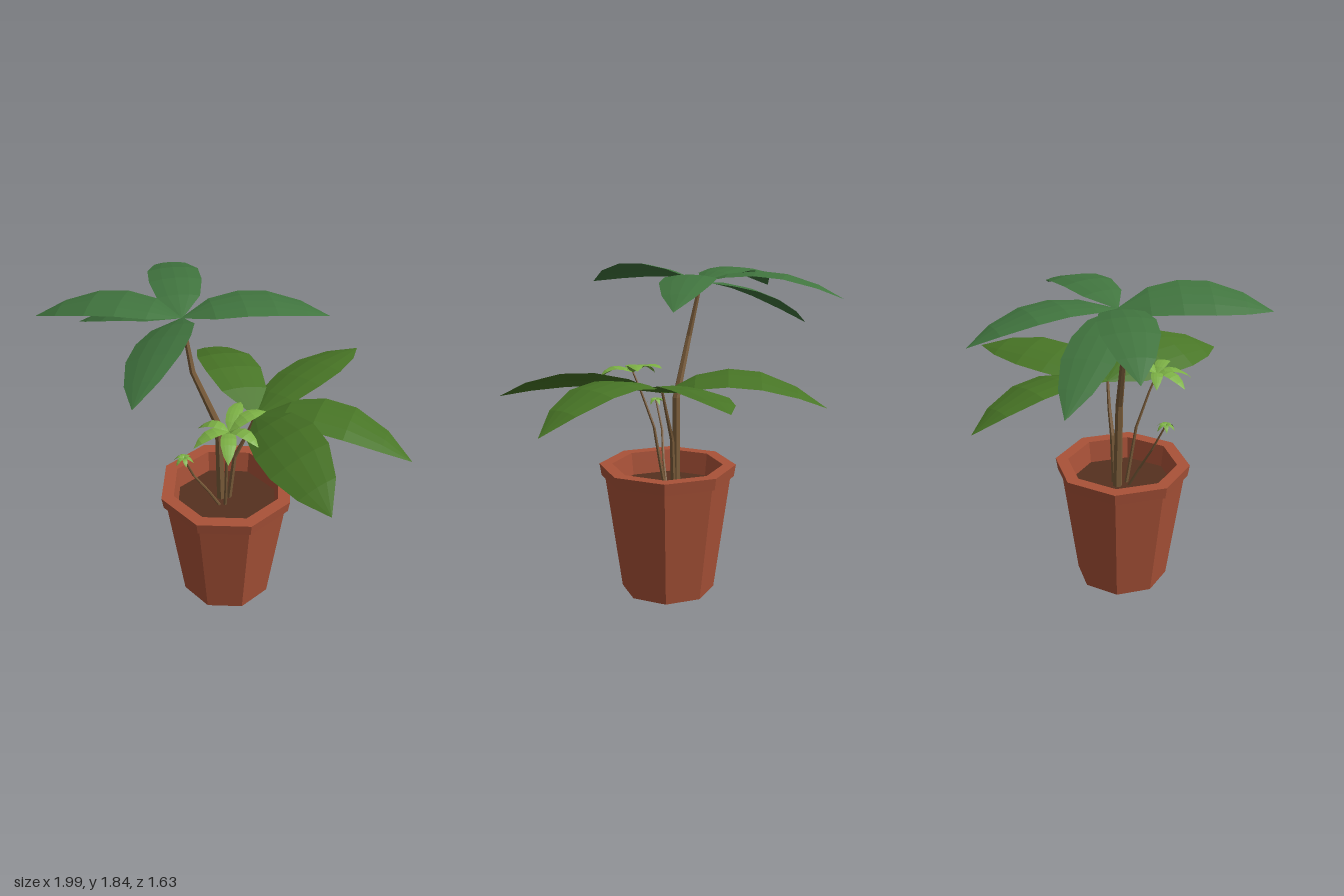
import * as THREE from 'three';

const mat = (color, side = THREE.FrontSide) =>
  new THREE.MeshStandardMaterial({ color, side, flatShading: true });
const V = (p) => new THREE.Vector3(...p);

const clay = mat(0xa95238);
const earth = mat(0x55301f);
const bark = mat(0x7a5c3a);
const darkGreen = mat(0x41753f, THREE.DoubleSide);
const midGreen = mat(0x487526, THREE.DoubleSide);
const lightGreen = mat(0x7cb045, THREE.DoubleSide);

function add(parent, name, geometry, material) {
  const mesh = new THREE.Mesh(geometry, material);
  mesh.name = name;
  parent.add(mesh);
  return mesh;
}

// Tapering stem: a cylinder whose rings are moved onto the given points
function stemGeometry(points, rBottom, rTop) {
  const n = points.length - 1;
  const geo = new THREE.CylinderGeometry(rTop, rBottom, 1, 6, n);
  const pos = geo.attributes.position;
  for (let i = 0; i < pos.count; i++) {
    const [x, y, z] = points[Math.round((pos.getY(i) + 0.5) * n)];
    pos.setXYZ(i, pos.getX(i) + x, y, pos.getZ(i) + z);
  }
  geo.computeVertexNormals();
  return geo;
}

// Leaf blade: rows along an arch from hub to tip, columns across the blade.
// rise = arch height, roll = sideways slope, width = half width / length
const ROWS = [[0, 0.04], [0.2, 0.8], [0.4, 1], [0.6, 0.98], [0.82, 0.62], [1, 0.01]];
const COLS = [-1, -0.5, 0, 0.5, 1];
function leafGeometry(hub, tip, rise, roll = 0, width = 0.178) {
  const a = V(hub), b = V(tip);
  const dir = b.clone().sub(a).setY(0);
  const half = dir.length() * width;
  dir.normalize();
  const side = new THREE.Vector3(dir.z, 0, -dir.x);
  const verts = [], index = [];
  ROWS.forEach(([t, w], i) => {
    const rib = a.clone().lerp(b, t);
    rib.y += 4 * rise * t * (1 - t);
    COLS.forEach((c, j) => {
      const off = c * w * half;
      const p = rib.clone().addScaledVector(side, off);
      p.y += off * roll - c * c * w * half * 0.12;
      verts.push(p.x, p.y, p.z);
      if (i && j) {
        const q = i * COLS.length + j, r = q - COLS.length;
        index.push(r - 1, q - 1, q, r - 1, q, r);
      }
    });
  });
  const geo = new THREE.BufferGeometry();
  geo.setAttribute('position', new THREE.Float32BufferAttribute(verts, 3));
  geo.setIndex(index);
  geo.computeVertexNormals();
  return geo;
}

// One plant: a stem with a whorl of leaves at its top point
function plant(name, path, radii, leaves, material, width) {
  const group = new THREE.Group();
  group.name = name;
  add(group, 'stem', stemGeometry(path, ...radii), bark);
  const hub = path[path.length - 1];
  leaves.forEach(([tip, rise, roll], i) =>
    add(group, 'leaf' + (i + 1), leafGeometry(hub, tip, rise, roll, width), material));
  return group;
}

export function createModel() {
  const model = new THREE.Group();
  model.name = 'pottedPlant';

  // Eight-sided pot with a rim; profile is given as distances to the flat sides
  const k = 1 / Math.cos(Math.PI / 8);
  const profile = [
    [0, 0], [0.245, 0], [0.33, 0.675], [0.347, 0.672], [0.357, 0.74], [0.29, 0.74], [0.275, 0.6],
  ].map(([r, y]) => new THREE.Vector2(r * k, y));
  const pot = add(model, 'pot', new THREE.LatheGeometry(profile, 8, Math.PI / 8), clay);
  pot.position.set(0.017, 0, 0.063);

  const soil = add(model, 'soil', new THREE.CircleGeometry(0.277 * k, 8, Math.PI / 8), earth);
  soil.rotation.x = -Math.PI / 2;
  soil.position.set(0.017, 0.61, 0.063);

  // Tall plant
  model.add(plant('tallPlant',
    [[-0.015, 0.6, 0.025], [-0.03, 1.12, 0.03], [-0.165, 1.45, 0.012], [-0.217, 1.745, -0.035]],
    [0.027, 0.011],
    [
      [[-1, 1.67, -0.16], 0.1],
      [[-0.84, 1.47, -0.46], 0.07],
      [[-0.36, 1.67, -0.815], 0.1],
      [[0.55, 1.67, -0.22], 0.1],
      [[-0.38, 1.71, 0.74], 0.085, 0.33],
    ], darkGreen));

  // Middle plant
  model.add(plant('middlePlant',
    [[0.03, 0.6, 0.02], [0.06, 0.9, 0.015], [0.12, 1.04, 0.015], [0.17, 1.185, 0.02]],
    [0.016, 0.008],
    [
      [[0.99, 1.1, 0.28], 0.15],
      [[0.54, 1.17, 0.81], 0.1, 0.42],
      [[0.755, 1.25, -0.6], 0.075, -0.2],
      [[-0.15, 1.11, -0.8], 0.14, 0.12],
    ], midGreen, 0.185));

  // Young plant
  model.add(plant('youngPlant',
    [[0.01, 0.6, 0.085], [0.015, 0.74, 0.11], [0.02, 0.95, 0.145], [0.03, 1.15, 0.22], [0.035, 1.255, 0.265]],
    [0.012, 0.006],
    [
      [[-0.13, 1.23, 0.21], 0.045],
      [[-0.14, 1.22, 0.37], 0.045],
      [[0.04, 1.2, 0.48], 0.045],
      [[0.19, 1.25, 0.39], 0.045],
      [[0.225, 1.3, 0.14], 0.04],
      [[0.09, 1.3, 0.06], 0.035],
    ], lightGreen, 0.19));

  // Tiny sprout with a ring of short leaves
  const top = [-0.205, 1.05, 0.24];
  const ring = [];
  for (let i = 0; i < 6; i++) {
    const a = (i / 6) * Math.PI * 2 + 0.2;
    ring.push([[top[0] + 0.055 * Math.cos(a), 1.03, top[2] + 0.055 * Math.sin(a)], 0.02]);
  }
  model.add(plant('sprout',
    [[-0.02, 0.6, 0.09], [-0.08, 0.74, 0.135], [-0.16, 0.89, 0.18], top],
    [0.01, 0.006], ring, lightGreen, 0.22));

  return model;
}
